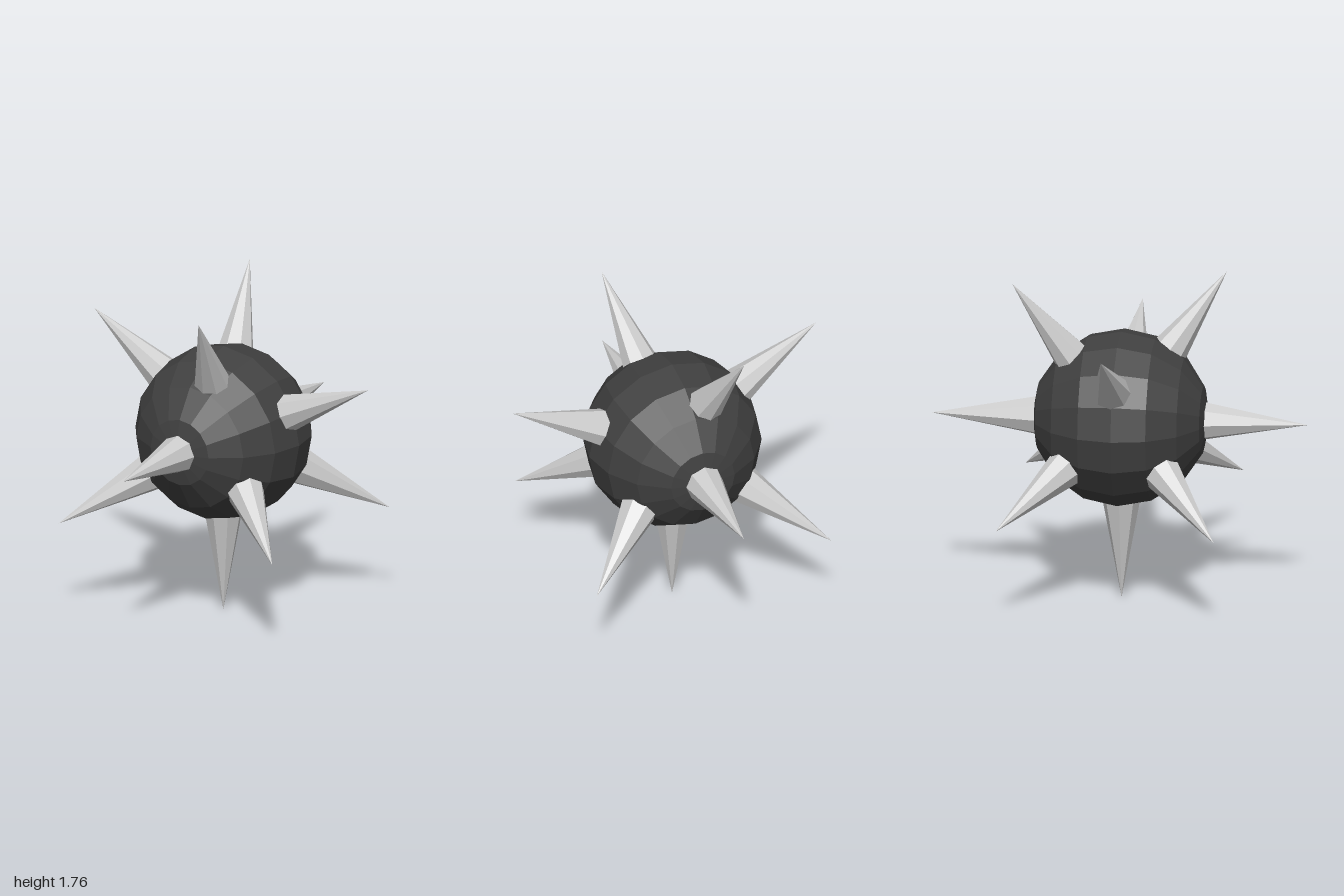
import * as THREE from 'three';

export function createModel() {
  const model = new THREE.Group();
  const center = new THREE.Vector3(-0.045, 0.995, 0.005);
  const up = new THREE.Vector3(0, 1, 0);
  const ballMaterial = new THREE.MeshStandardMaterial({ color: 0x404040, flatShading: true });
  const spikeMaterial = new THREE.MeshStandardMaterial({ color: 0xcccccc, flatShading: true });

  // Faceted ball with its poles facing front and back
  const ballGeometry = new THREE.SphereGeometry(0.472, 16, 8);
  ballGeometry.rotateX(Math.PI / 2);
  const ball = new THREE.Mesh(ballGeometry, ballMaterial);
  ball.name = 'ball';
  ball.position.copy(center);
  model.add(ball);

  // Eight-sided spike rooted inside the ball, pointing outward to its tip
  function addSpike(name, x, y, z) {
    const tip = new THREE.Vector3(x, y, z);
    const direction = tip.clone().sub(center).normalize();
    const length = 0.64;
    const geometry = new THREE.ConeGeometry(length * 0.187, length, 8);
    geometry.translate(0, -length / 2, 0);
    const spike = new THREE.Mesh(geometry, spikeMaterial);
    spike.name = name;
    spike.position.copy(tip);
    spike.quaternion.setFromUnitVectors(up, direction);
    model.add(spike);
  }

  // Spikes near the main axes
  addSpike('bottomSpike', -0.045, 0.005, 0.008);
  addSpike('frontSpike', -0.045, 0.988, 1.0);
  addSpike('backSpike', -0.05, 0.988, -1.0);
  addSpike('leftSpike', 0.86, 1.38, 0.012);
  addSpike('rightSpike', -0.86, 1.535, -0.005);
  addSpike('upperBackSpike', -0.232, 1.765, -0.55);
  addSpike('upperFrontSpike', 0.14, 1.765, 0.547);

  // Four lower diagonal spikes
  for (const front of [true, false]) {
    const end = front ? 'Front' : 'Back';
    const z = front ? 0.578 : -0.583;
    addSpike(`lowerLeft${end}Spike`, 0.62, 0.525, z);
    addSpike(`lowerRight${end}Spike`, -0.715, front ? 0.522 : 0.542, z);
  }
  return model;
}
